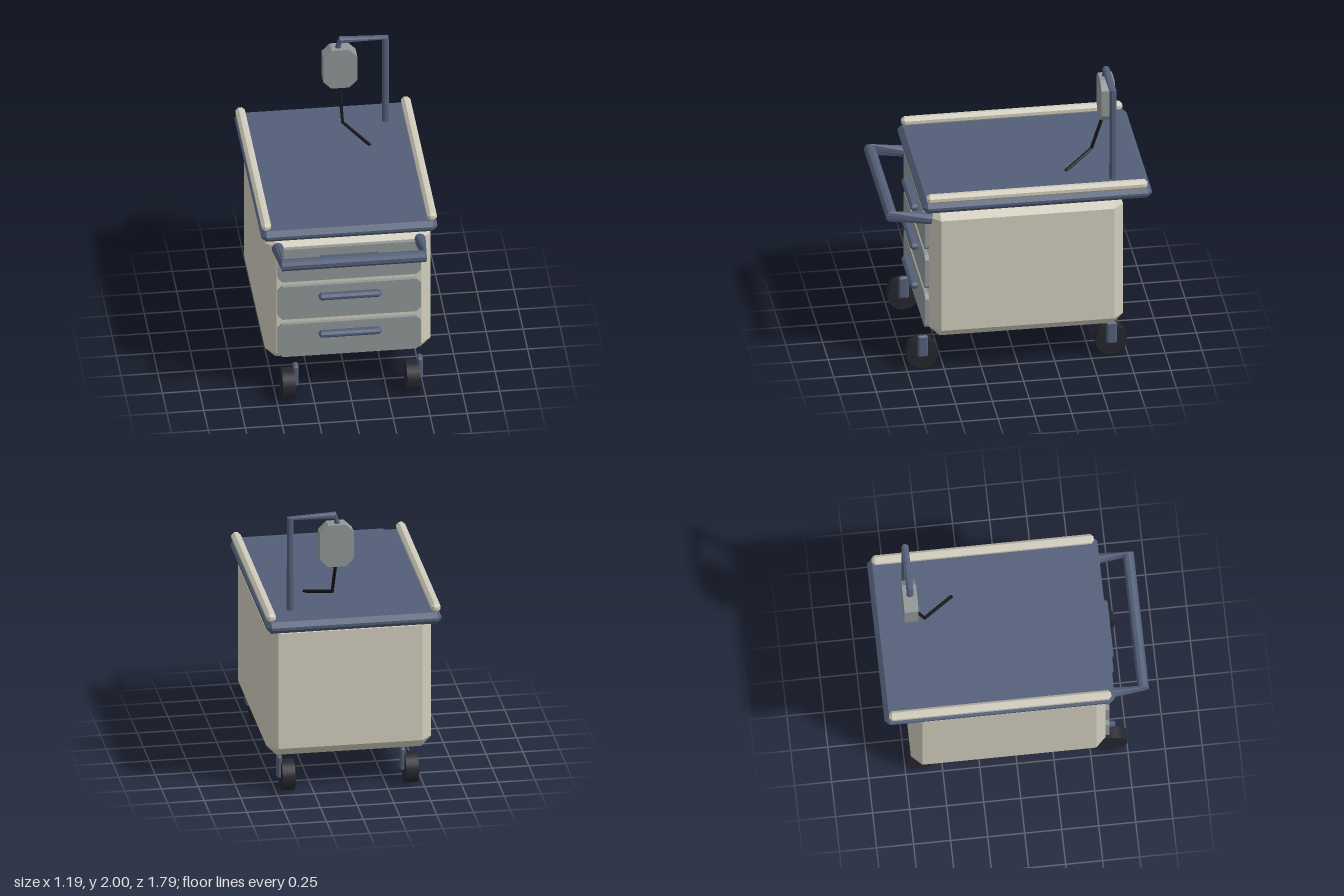
import * as THREE from 'three';
import { ConvexGeometry } from 'three/addons/geometries/ConvexGeometry.js';

const paint = (name, color) => {
  const m = new THREE.MeshStandardMaterial({ color });
  m.name = name;
  return m;
};

// Box with every edge cut at 45 degrees
function chamferBox(w, h, d, c) {
  const pts = [], x = w / 2, y = h / 2, z = d / 2;
  for (const i of [-1, 1]) for (const j of [-1, 1]) for (const k of [-1, 1]) {
    pts.push(
      new THREE.Vector3(i * x, j * (y - c), k * (z - c)),
      new THREE.Vector3(i * (x - c), j * y, k * (z - c)),
      new THREE.Vector3(i * (x - c), j * (y - c), k * z));
  }
  return new ConvexGeometry(pts);
}

// Plate with cut corners, facing z
function cutPlate(w, h, d, c) {
  const x = w / 2, y = h / 2;
  const shape = new THREE.Shape([
    [x - c, -y], [x, c - y], [x, y - c], [x - c, y],
    [c - x, y], [-x, y - c], [-x, c - y], [c - x, -y],
  ].map(([a, b]) => new THREE.Vector2(a, b)));
  return new THREE.ExtrudeGeometry(shape, { depth: d, bevelEnabled: false }).translate(0, 0, -d / 2);
}

// Faceted bent rod: one ring per path point, joined and capped
function rod(path, radius, refAxis, sides = 8) {
  const pts = path.map(p => new THREE.Vector3(...p));
  const ref = new THREE.Vector3(...refAxis);
  const last = pts.length - 1;
  const rings = pts.map((p, i) => {
    const t = pts[Math.min(i + 1, last)].clone().sub(pts[Math.max(i - 1, 0)]).normalize();
    const a = ref.clone().cross(t).normalize();
    const b = t.clone().cross(a);
    return Array.from({ length: sides }, (_, j) => {
      const s = ((j + 0.5) / sides) * Math.PI * 2;
      return p.clone().addScaledVector(a, radius * Math.cos(s)).addScaledVector(b, radius * Math.sin(s));
    });
  });
  const tris = [];
  for (let j = 0; j < sides; j++) {
    const k = (j + 1) % sides;
    for (let i = 0; i < last; i++) {
      const r = rings[i], q = rings[i + 1];
      tris.push(r[j], r[k], q[k], r[j], q[k], q[j]);
    }
    tris.push(pts[0], rings[0][k], rings[0][j], pts[last], rings[last][j], rings[last][k]);
  }
  const geo = new THREE.BufferGeometry().setFromPoints(tris);
  geo.computeVertexNormals();
  return geo;
}

export function createModel() {
  const cream = paint('cream', 0xd0ccbc);
  const navy = paint('navy', 0x535e78);
  const grey = paint('grey', 0x8f9696);
  const rubber = paint('rubber', 0x25252e);
  const black = paint('black', 0x151518);

  const cart = new THREE.Group();
  cart.name = 'equipmentCart';
  const add = (name, geo, mat, x = 0, y = 0, z = 0, parent = cart) => {
    const mesh = new THREE.Mesh(geo, mat);
    mesh.name = name;
    mesh.position.set(x, y, z);
    parent.add(mesh);
    return mesh;
  };

  // Cabinet and worktop
  add('cabinet', chamferBox(1.12, 0.975, 1.315, 0.07), cream, 0, 0.7425, -0.0575);
  add('worktop', chamferBox(1.19, 0.082, 1.555, 0.032), navy, 0, 1.27, -0.1225);

  // Guard rails along both sides of the worktop
  for (const s of [-1, 1]) {
    add(s > 0 ? 'leftRail' : 'rightRail', chamferBox(0.064, 0.062, 1.5, 0.02), cream, s * 0.56, 1.336, -0.12);
  }

  // Drawers with pulls
  const drawerGeo = cutPlate(0.965, 0.257, 0.035, 0.03);
  const pullGeo = chamferBox(0.42, 0.044, 0.06, 0.015);
  [0.433, 0.73, 1.027].forEach((y, i) => {
    add('drawer' + (i + 1), drawerGeo, grey, 0, y, 0.61);
    add('drawerPull' + (i + 1), pullGeo, navy, 0, y + 0.055, 0.655);
  });

  // Push handle
  add('pushHandle', rod([
    [-0.48, 1.147, 0.585], [-0.48, 1.182, 0.855], [0.48, 1.182, 0.855], [0.48, 1.147, 0.585],
  ], 0.041, [0, 1, 0], 10), navy);

  // Post carrying the hanging unit and its cable
  add('post', rod([
    [0.4, 1.29, -0.66], [0.4, 1.972, -0.66], [0.095, 1.975, -0.66], [0.075, 1.89, -0.66],
  ], 0.025, [0, 0, 1]), navy);
  add('hangingUnit', cutPlate(0.23, 0.3, 0.096, 0.055), grey, 0.089, 1.77, -0.661);
  add('cable', rod([
    [0.085, 1.65, -0.65], [0.098, 1.382, -0.56], [0.26, 1.312, -0.36],
  ], 0.012, [1, 0, -0.7], 6), black);

  // Casters, each with a bracket on its left
  const wheelGeo = new THREE.CylinderGeometry(0.108, 0.108, 0.087, 24).rotateZ(Math.PI / 2);
  const bracketGeo = chamferBox(0.035, 0.16, 0.07, 0.01);
  for (const x of [-0.42, 0.42]) for (const z of [-0.64, 0.643]) {
    const caster = new THREE.Group();
    caster.name = (z > 0 ? 'front' : 'rear') + (x > 0 ? 'Left' : 'Right') + 'Caster';
    caster.position.set(x, 0, z);
    add('wheel', wheelGeo, rubber, 0, 0.108, 0, caster);
    add('bracket', bracketGeo, navy, 0.053, 0.175, 0, caster);
    cart.add(caster);
  }
  return cart;
}
